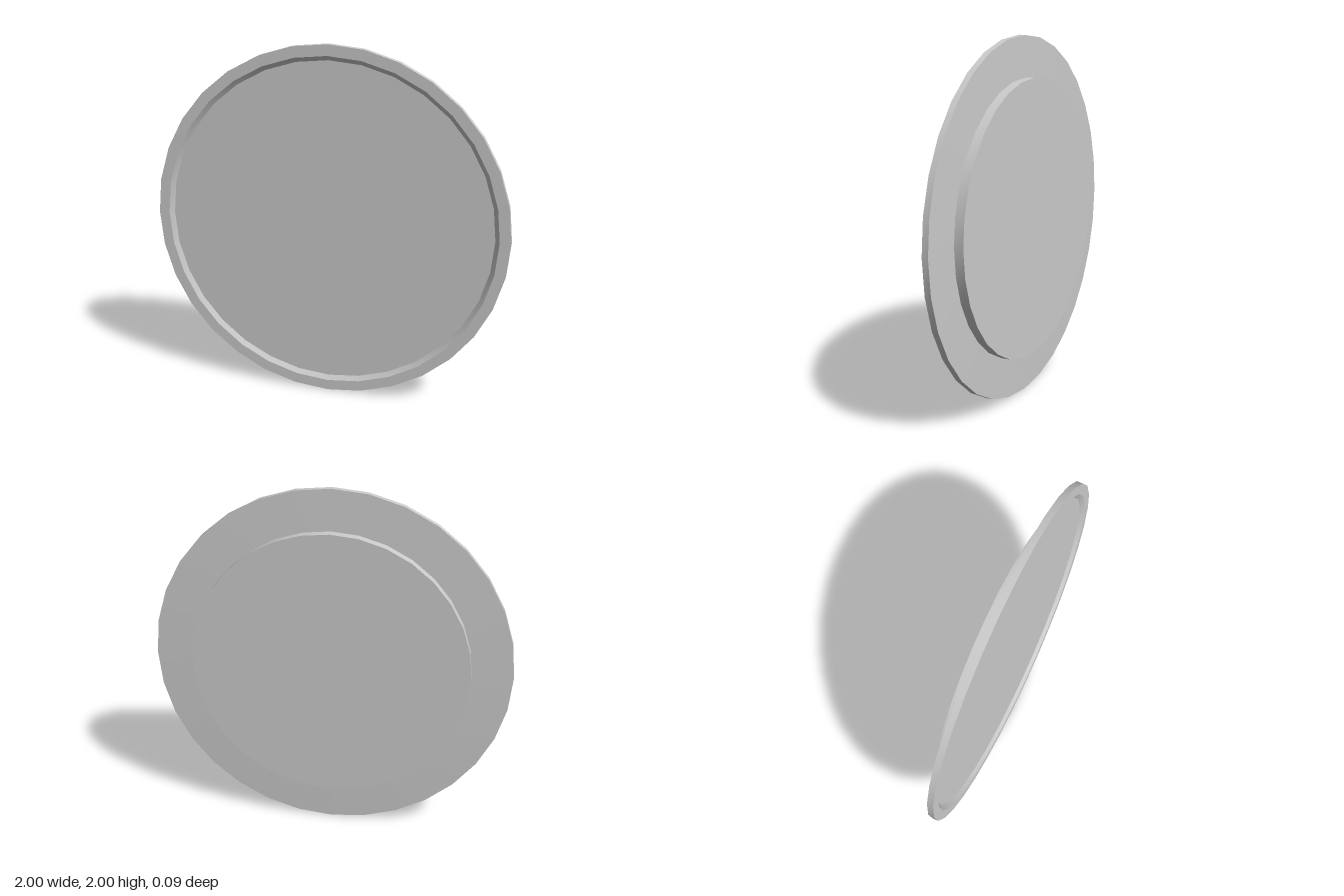
import * as THREE from 'three';
import { toCreasedNormals } from 'three/addons/utils/BufferGeometryUtils.js';

const SIDES = 32;

// Turned part: profile of [radius, z] points from back to front, axis along z
function turned(name, profile, material) {
  const points = profile.map(([r, z]) => new THREE.Vector2(r, z));
  const lathe = new THREE.LatheGeometry(points, SIDES).rotateX(Math.PI / 2);
  const mesh = new THREE.Mesh(toCreasedNormals(lathe, Math.PI / 6), material);
  mesh.name = name;
  mesh.position.y = 1;
  return mesh;
}

export function createModel() {
  const group = new THREE.Group();
  group.name = 'roundPlate';
  const grey = new THREE.MeshStandardMaterial({ color: 0xcccccc });

  // Wide disc: slightly conical back, raised rim and bevelled shallow recess in front
  group.add(turned('rimmedDisc', [
    [0.775, 0.005], [1, 0.012], [1, 0.047], [0.94, 0.047], [0.915, 0.027], [0, 0.027],
  ], grey));

  // Smaller round boss on the back
  group.add(turned('backBoss', [
    [0, -0.047], [0.775, -0.047], [0.775, 0.008],
  ], grey));

  return group;
}
